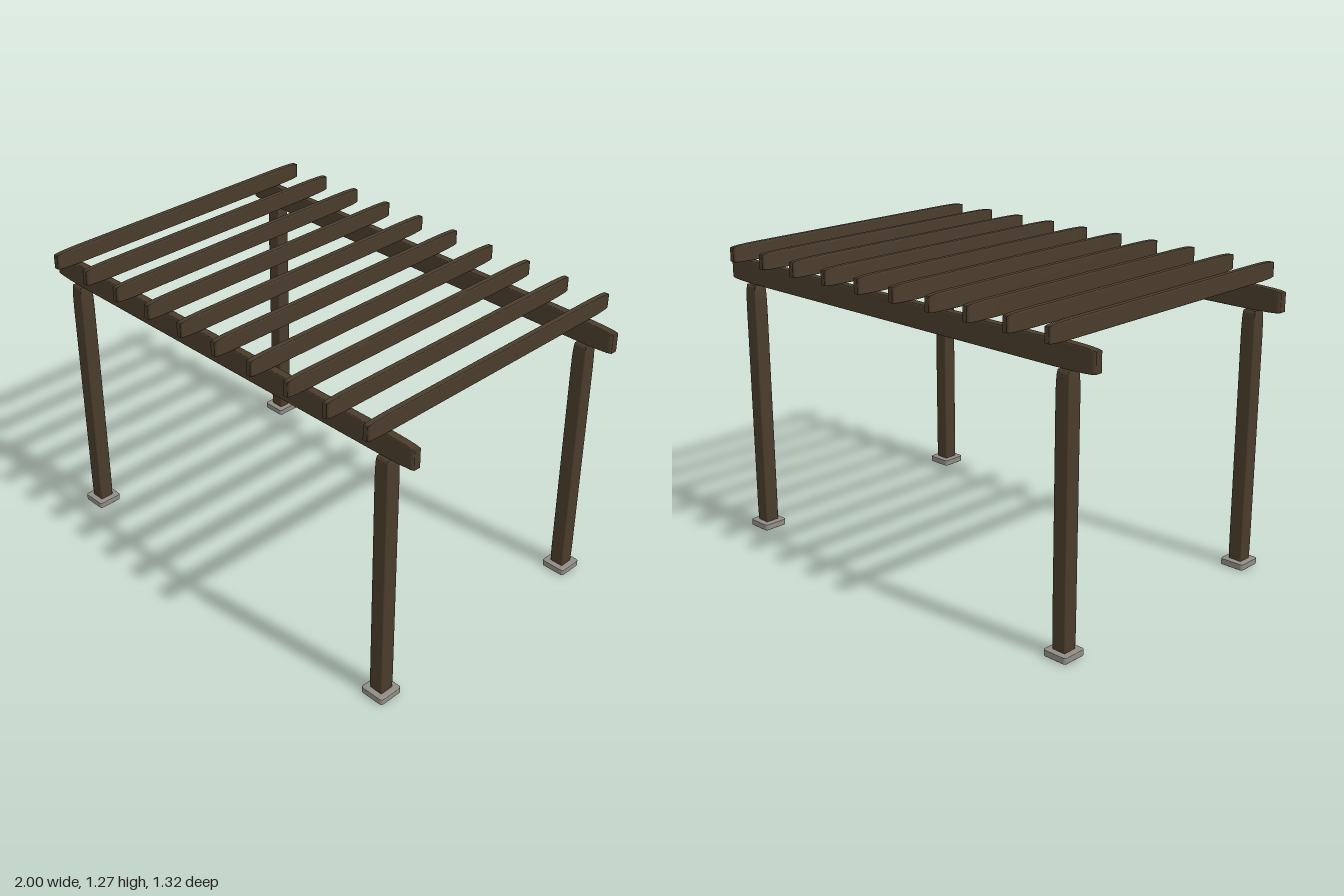
import * as THREE from 'three';
import { RoundedBoxGeometry } from 'three/addons/geometries/RoundedBoxGeometry.js';

export function createModel() {
  const model = new THREE.Group();
  model.name = 'pergola';
  const wood = new THREE.MeshStandardMaterial({ color: 0x4a3c2c });
  wood.name = 'dark wood';
  const stone = new THREE.MeshStandardMaterial({ color: 0x8f8c84 });
  stone.name = 'grey stone';

  // Every timber is one rounded cube stretched to size, so ends taper along the grain
  const block = new RoundedBoxGeometry(1, 1, 1, 2, 0.1);
  function add(name, material, size, x, y0, z) {
    const mesh = new THREE.Mesh(block, material);
    mesh.name = name;
    mesh.scale.set(...size);
    mesh.position.set(x, y0 + size[1] / 2, z);
    model.add(mesh);
  }

  const postX = 0.865, postZ = 0.547;

  for (const [side, z] of [['front', postZ], ['back', -postZ]]) {
    // Posts on their footings
    for (const [hand, x] of [['Left', postX], ['Right', -postX]]) {
      add(`${side}${hand}Footing`, stone, [0.108, 0.029, 0.108], x, 0.001, z);
      add(`${side}${hand}Post`, wood, [0.064, 1.09, 0.064], x, 0, z);
    }
    // Long beam across the posts
    add(`${side}Beam`, wood, [2, 0.098, 0.036], 0, 1.091, z);
  }

  // Rafters laid over the beams
  const count = 10;
  for (let i = 0; i < count; i++) {
    const x = -postX + (2 * postX * i) / (count - 1);
    add(`rafter${i + 1}`, wood, [0.025, 0.073, 1.32], x, 1.195, 0);
  }
  return model;
}
